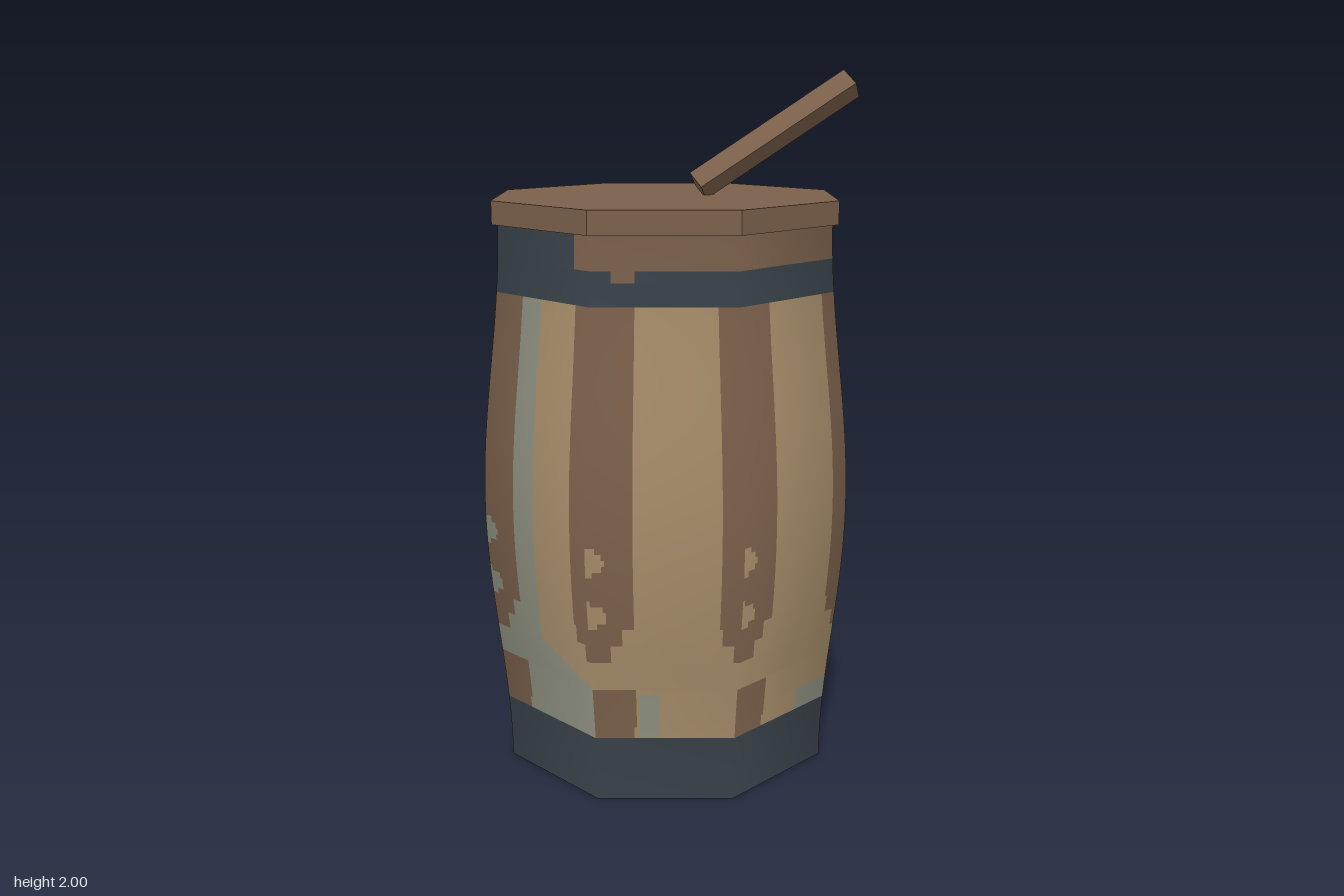
import * as THREE from 'three';

const SIDES = 8, STEP = (Math.PI * 2) / SIDES;
const BAND_TOP = 0.19, HOOP = 1.4, RIM = 1.585;
const CENTRE_X = -0.023;

const material = (name, color) => {
  const m = new THREE.MeshStandardMaterial({ color });
  m.name = name;
  return m;
};

// bulging barrel outline: distance from axis to the flat of each side
const apothem = (y) => 0.459 + 0.056 * Math.sin((Math.PI * y) / 1.6) ** 2;
const slope = (y) => (apothem(y + 0.01) - apothem(y - 0.01)) / 0.02;

// point and smooth normal on one side; side 0 faces the front, u runs left to right
function surface(side, u, y) {
  const corner = (k) => {
    const a = (k - 0.5) * STEP;
    return new THREE.Vector3(Math.sin(a), 0, Math.cos(a));
  };
  const dir = corner(side).lerp(corner(side + 1), u);
  const point = dir.clone().multiplyScalar(apothem(y) / Math.cos(STEP / 2)).setY(y);
  const normal = dir.normalize().setY(-slope(y)).normalize();
  return { point, normal };
}

// dark stave: wide strip either side of each corner, worn away near the base
function isStave(u, y) {
  for (const c of [0.72, 0.565]) {
    const t = (y - c) / 0.037;
    if (Math.abs(t) < 1 && u < 0.12 * Math.sqrt(1 - t * t)) return false; // round knots
  }
  if (y < 0.345) return u < (y > 0.23 ? 0.31 : 0.29);
  if (y < 0.42) return false;
  if (y < 0.47) return u < 0.14 || u > 0.95;
  if (y < 0.53) return u < 0.22 || u > 0.88;
  return u < 0.31 || u > 0.86;
}

// weathered grey area, mostly round the back and creeping along the base
function isWeathered(side, u, y) {
  switch (side) {
    case 0: return y < 0.33 && u > 0.31 && u < 0.47;
    case 1: return y < 0.25 && u > 0.65;
    case 2: return u > 0.25 && y < 0.34 + 0.5 * (u - 0.33);
    case 3: return u > 0.55 || y < Math.max(0.62, 0.5 + 1.8 * (u - 0.31));
    case 7: return u < 0.5 || y < 0.45 - 0.2 * (u - 0.45);
    default: return true;
  }
}

// bare wood showing above the upper hoop, with one drip at the front
function isBareRim(side, u, y) {
  const low = side === 0 && u > 0.14 && u < 0.3 ? 1.465 : 1.5;
  if (y < low) return false;
  return side < 3 || (side === 3 && u < 0.25) || (side === 7 && u > 0.83);
}

function partAt(side, u, y) {
  if (y < BAND_TOP) return 'lowerBand';
  if (y > HOOP) return isBareRim(side, u, y) ? 'bareRim' : 'upperBand';
  if (isStave(u, y)) return 'darkStaves';
  return isWeathered(side, u, y) ? 'weatheredStaves' : 'paleStaves';
}

export function createModel() {
  const group = new THREE.Group();
  group.name = 'barrel';
  const brown = material('brown wood', 0x7b604b);
  const tan = material('tan wood', 0xa58c69);
  const grey = material('weathered grey', 0x8e9080);
  const slate = material('slate iron', 0x39424a);

  const add = (name, geometry, mat) => {
    const mesh = new THREE.Mesh(geometry, mat);
    mesh.name = name;
    group.add(mesh);
    return mesh;
  };

  // barrel wall: sweep each row round a side, joining runs of the same part into one quad
  const parts = {};
  const quad = (name, side, u0, u1, y0, y1) => {
    const p = (parts[name] ??= { position: [], normal: [] });
    for (const [u, y] of [[u0, y0], [u1, y0], [u1, y1], [u0, y0], [u1, y1], [u0, y1]]) {
      const s = surface(side, u, y);
      p.position.push(s.point.x + CENTRE_X, s.point.y, s.point.z);
      p.normal.push(...s.normal.toArray());
    }
  };
  const COLS = 50;
  for (const [from, to, rows] of [[0, BAND_TOP, 4], [BAND_TOP, HOOP, 72], [HOOP, RIM, 12]]) {
    for (let r = 0; r < rows; r++) {
      const y0 = from + ((to - from) * r) / rows;
      const y1 = from + ((to - from) * (r + 1)) / rows;
      for (let side = 0; side < SIDES; side++) {
        let start = 0;
        const at = (c) => partAt(side, (c + 0.5) / COLS, (y0 + y1) / 2);
        for (let c = 1; c <= COLS; c++) {
          if (c < COLS && at(c) === at(start)) continue;
          quad(at(start), side, start / COLS, c / COLS, y0, y1);
          start = c;
        }
      }
    }
  }
  const wallMaterials = {
    lowerBand: slate, upperBand: slate, bareRim: brown,
    darkStaves: brown, paleStaves: tan, weatheredStaves: grey,
  };
  for (const [name, data] of Object.entries(parts)) {
    const geo = new THREE.BufferGeometry();
    geo.setAttribute('position', new THREE.Float32BufferAttribute(data.position, 3));
    geo.setAttribute('normal', new THREE.Float32BufferAttribute(data.normal, 3));
    add(name, geo, wallMaterials[name]);
  }

  // base disc
  const base = add('base',
    new THREE.CircleGeometry(apothem(0) / Math.cos(STEP / 2), SIDES, STEP / 2), brown);
  base.rotation.x = Math.PI / 2;
  base.position.x = CENTRE_X;

  // faceted lid
  const lidRadius = 0.475 / Math.cos(STEP / 2);
  const lidGeo = new THREE.CylinderGeometry(lidRadius, lidRadius, 0.065, SIDES, 1, false, STEP / 2)
    .toNonIndexed();
  lidGeo.computeVertexNormals();
  add('lid', lidGeo, brown).position.set(CENTRE_X, RIM + 0.0325, 0);

  // square stick standing on the lid at a slant, one edge uppermost
  const foot = new THREE.Vector3(0.07, 1.675, -0.005);
  const tip = new THREE.Vector3(0.51, 1.961, -0.085);
  const axis = tip.clone().sub(foot);
  const stickGeo = new THREE.CylinderGeometry(0.045, 0.045, axis.length(), 4).toNonIndexed();
  stickGeo.computeVertexNormals();
  const stick = add('stick', stickGeo, brown);
  axis.normalize();
  const across = new THREE.Vector3().crossVectors(axis, new THREE.Vector3(0, 1, 0)).normalize();
  const up = new THREE.Vector3().crossVectors(across, axis);
  stick.quaternion.setFromRotationMatrix(new THREE.Matrix4().makeBasis(across, axis, up.negate()
    .multiplyScalar(-1)));
  stick.position.copy(foot).add(tip).multiplyScalar(0.5);
  return group;
}
